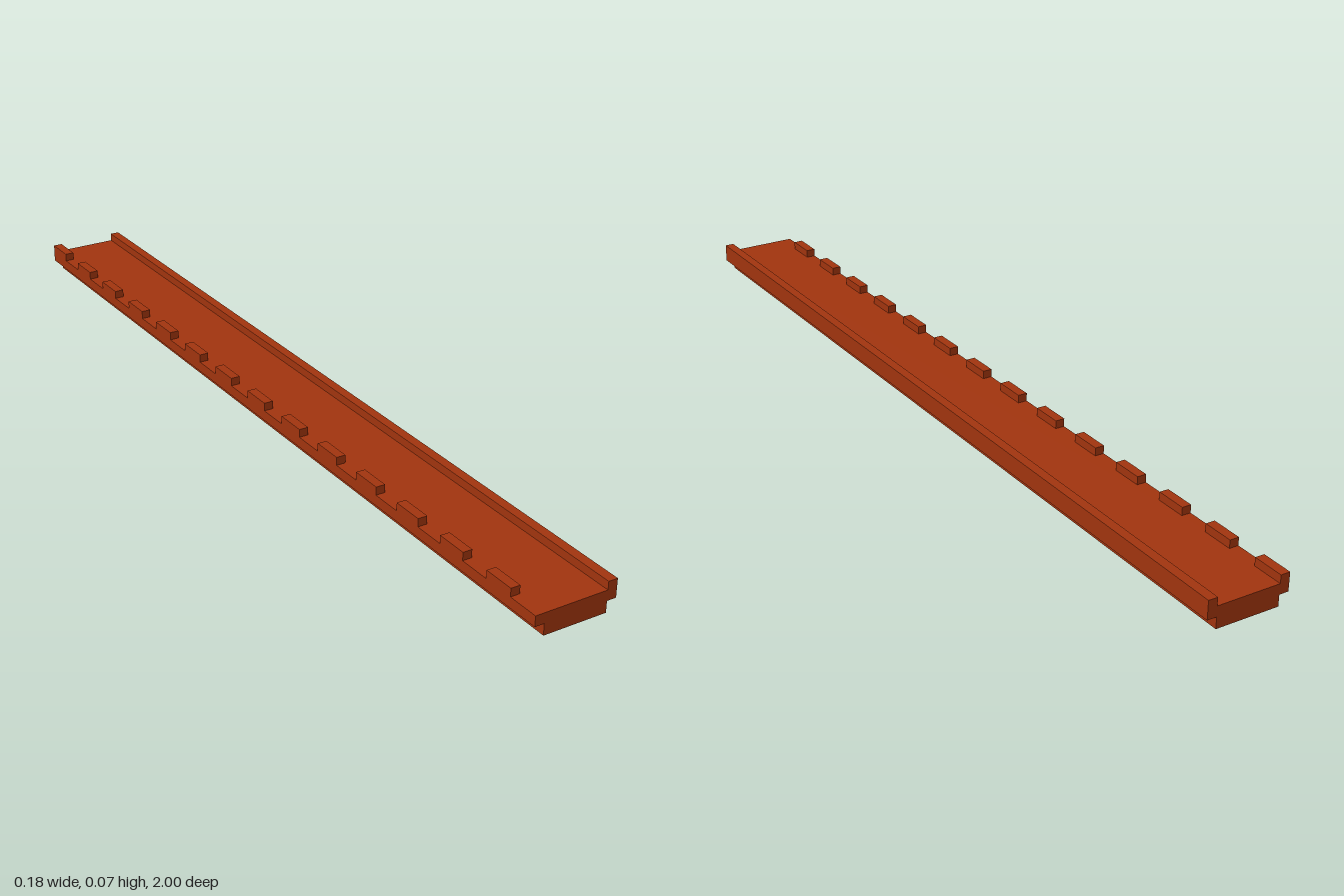
import * as THREE from 'three';

const LENGTH = 2;
const INNER = 0.071;   // half width of the base, inner face of the lips
const OUTER = 0.092;   // half width over the lips
const LEDGE = 0.025;   // underside of the overhang
const DECK = 0.048;    // walking surface
const TOP = 0.066;     // top of lip and teeth
const TEETH = 14;

export function createModel() {
  const group = new THREE.Group();
  group.name = 'toothedRail';
  const rust = new THREE.MeshStandardMaterial({ color: 0xa0340e });
  rust.name = 'rust red';

  // Stepped rail with a continuous lip on the left edge
  const profile = new THREE.Shape([
    [-INNER, 0], [INNER, 0], [INNER, LEDGE], [OUTER, LEDGE], [OUTER, TOP],
    [INNER, TOP], [INNER, DECK], [-OUTER, DECK], [-OUTER, LEDGE], [-INNER, LEDGE],
  ].map(([x, y]) => new THREE.Vector2(x, y)));
  const railGeometry = new THREE.ExtrudeGeometry(profile, { depth: LENGTH, bevelEnabled: false });
  railGeometry.translate(0, 0, -LENGTH / 2);
  const rail = new THREE.Mesh(railGeometry, rust);
  rail.name = 'railBody';
  group.add(rail);

  // Row of teeth on the right edge, each followed by an equal gap
  const pitch = LENGTH / TEETH;
  const toothGeometry = new THREE.BoxGeometry(OUTER - INNER, TOP - DECK, pitch / 2);
  for (let i = 0; i < TEETH; i++) {
    const tooth = new THREE.Mesh(toothGeometry, rust);
    tooth.name = `tooth${i + 1}`;
    tooth.position.set(-(OUTER + INNER) / 2, (TOP + DECK) / 2, -LENGTH / 2 + pitch * (i + 0.25));
    group.add(tooth);
  }
  return group;
}
